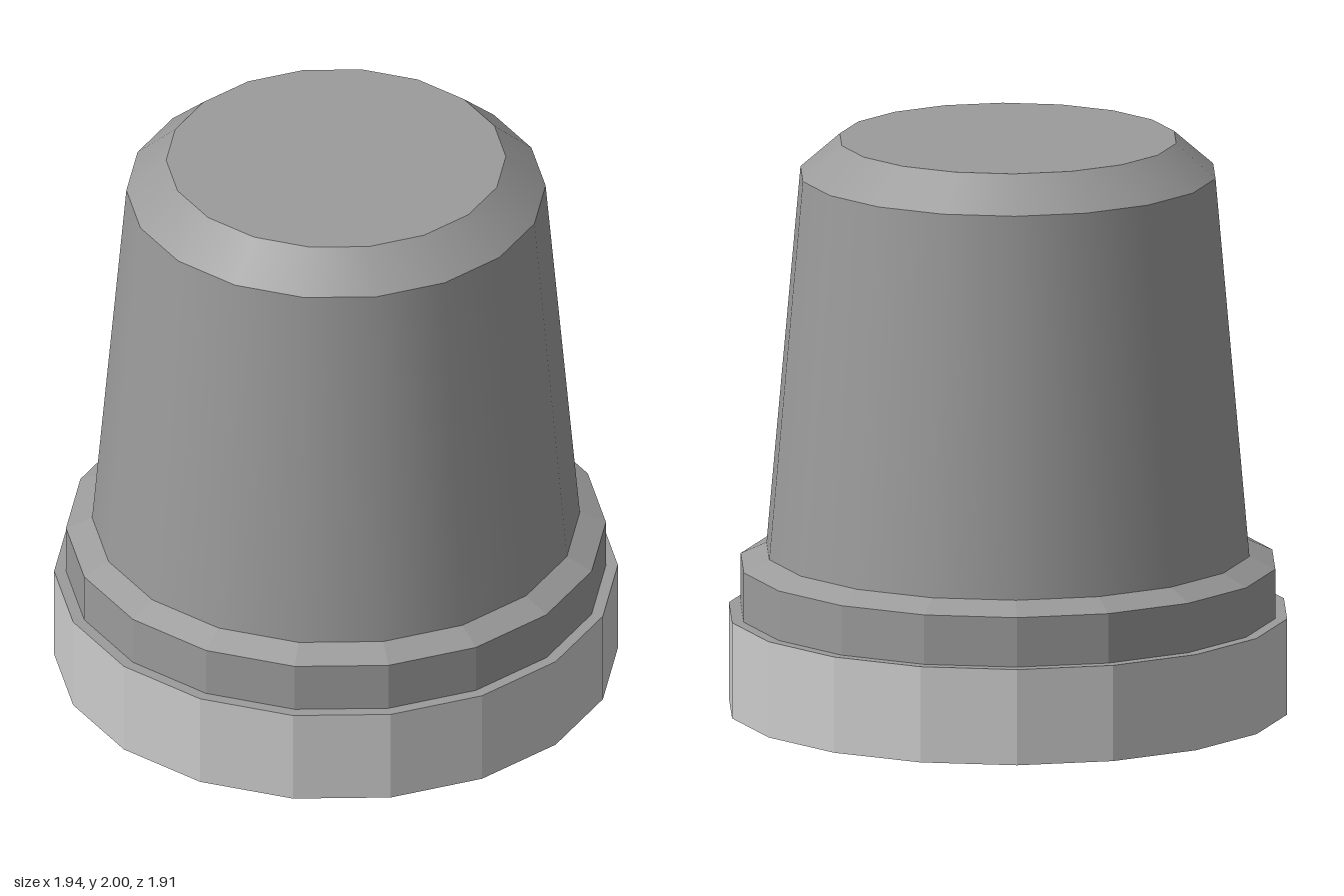
import * as THREE from 'three';

const SIDES = 18;
const LIGHT = 0xcccccc;
const DARK = 0x9b9b9b;

// One turned band; profile points run from bottom to top as [radius, height]
function band(name, profile, color, flatShading) {
  const points = profile.map(([r, y]) => new THREE.Vector2(r, y));
  const geometry = new THREE.LatheGeometry(points, SIDES, Math.PI / 2);
  const material = new THREE.MeshStandardMaterial({ color, flatShading });
  const mesh = new THREE.Mesh(geometry, material);
  mesh.name = name;
  return mesh;
}

export function createModel() {
  const group = new THREE.Group();
  group.name = 'taperedCap';
  group.add(
    // Light faceted foot with closed underside
    band('baseRing', [[0, 0], [0.971, 0], [0.971, 0.337]], LIGHT, true),
    // Dark ledge, faceted collar and sloping shoulder
    band('collar', [[0.971, 0.337], [0.93, 0.337], [0.93, 0.511], [0.84, 0.553]], DARK, true),
    // Smooth tapered body and its bevelled rim
    band('body', [[0.84, 0.553], [0.722, 1.88]], DARK, false),
    band('topBevel', [[0.722, 1.88], [0.585, 2]], DARK, false),
    // Flat lid
    band('topFace', [[0.585, 2], [0, 2]], DARK, true)
  );
  return group;
}
